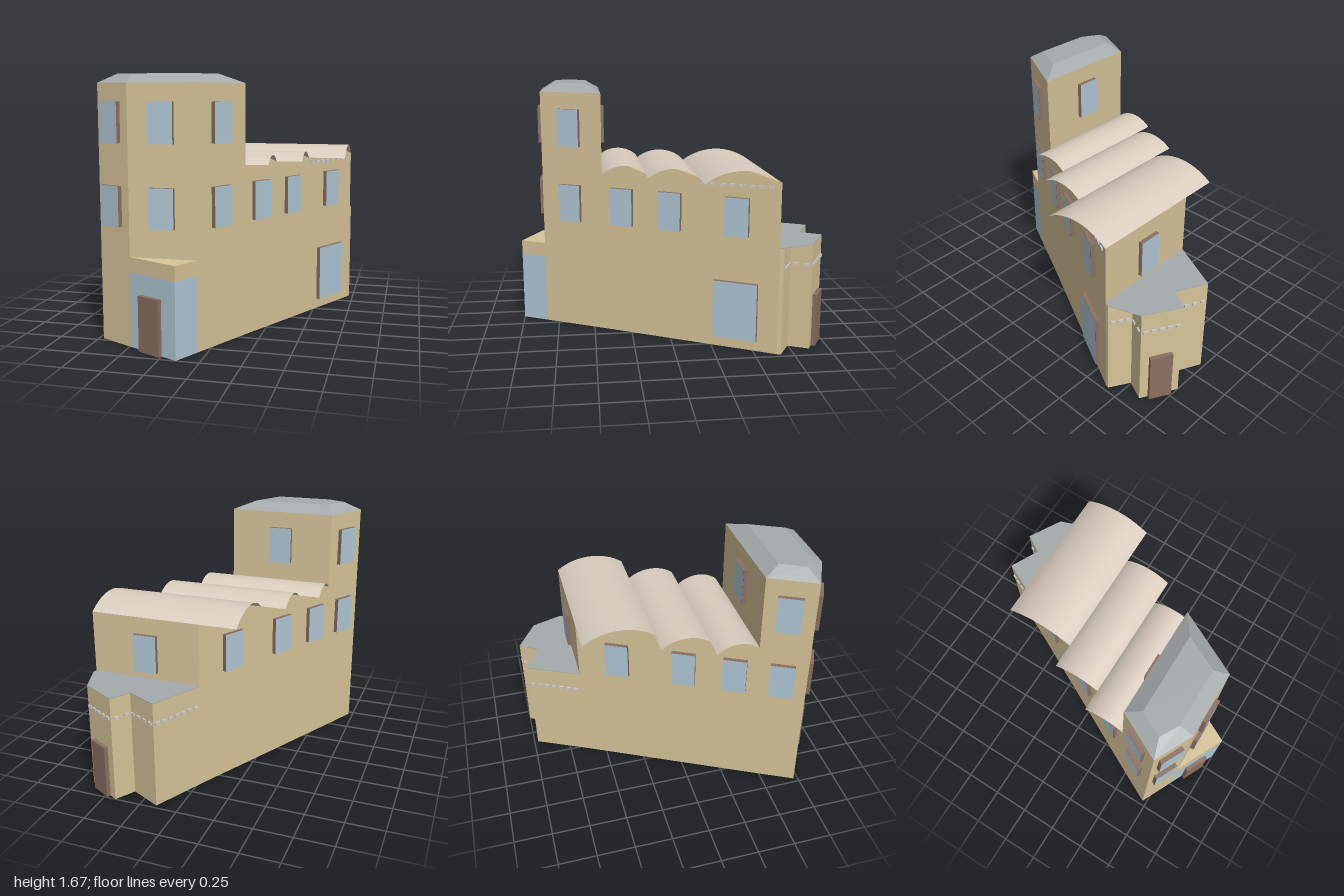
import * as THREE from 'three';
import { ConvexGeometry } from 'three/addons/geometries/ConvexGeometry.js';

const mat = (color, side = THREE.FrontSide) =>
  new THREE.MeshStandardMaterial({ color, side, flatShading: true });

export function createModel() {
  const model = new THREE.Group();
  const wallMat = mat(0xd6c499), gableMat = mat(0xd6c499, THREE.DoubleSide);
  const glassMat = mat(0xafc7d5), woodMat = mat(0x8a6f60);
  const slateMat = mat(0xa5abac), vaultMat = mat(0xd8ccbd, THREE.DoubleSide);
  const ventMat = mat(0xcccccc);

  const add = (name, geometry, material, parent = model) => {
    const mesh = new THREE.Mesh(geometry, material);
    mesh.name = name;
    parent.add(mesh);
    return mesh;
  };

  // Upright block standing on a footprint of [x, z] corners
  const block = (name, plan, y0, y1, material) => {
    const shape = new THREE.Shape(plan.map(([x, z]) => new THREE.Vector2(x, -z)));
    const geo = new THREE.ExtrudeGeometry(shape, { depth: y1 - y0, bevelEnabled: false });
    geo.rotateX(-Math.PI / 2).translate(0, y0, 0);
    return add(name, geo, material);
  };

  // Group on a wall running a -> b, at fraction t; local +z points outward
  const onWall = (name, [a, b], t, y) => {
    const g = new THREE.Group();
    const dx = b[0] - a[0], dz = b[1] - a[1];
    g.name = name;
    g.position.set(a[0] + dx * t, y, a[1] + dz * t);
    g.rotation.y = Math.atan2(-dz, dx);
    model.add(g);
    return g;
  };
  const atZ = ([a, b], z) => (z - a[1]) / (b[1] - a[1]);

  const DEPTH = 0.027;
  const door = (wall, t, w, h) => {
    const g = onWall('door', wall, t, h / 2);
    add('doorLeaf', new THREE.BoxGeometry(w, h, DEPTH), woodMat, g).position.z = DEPTH / 2;
  };
  const openWindow = (wall, t, y0, y1, w = 0.157) => {
    const g = onWall('window', wall, t, (y0 + y1) / 2);
    add('windowFrame', new THREE.BoxGeometry(w, y1 - y0, DEPTH), woodMat, g).position.z = DEPTH / 2;
    add('windowPane', new THREE.PlaneGeometry(w, y1 - y0), glassMat, g).position.z = DEPTH + 0.001;
  };
  const vents = (wall, t0, t1, n, y, w) => {
    for (let i = 0; i < n; i++) {
      const g = onWall('vent', wall, n > 1 ? t0 + (t1 - t0) * i / (n - 1) : t0, y);
      add('ventBlock', new THREE.BoxGeometry(w, 0.018, 0.02), ventMat, g);
    }
  };

  // Tower, with a lower glazed corner in front
  const towerPlan = [[-0.72, 0.72], [-0.485, 0.835], [-0.06, 0.835], [0.145, 0.435], [-0.575, 0.435]];
  const cornerPlan = [[-0.485, 0.835], [-0.145, 1], [-0.06, 0.835]];
  block('tower', towerPlan, 0, 1.62, wallMat);
  block('cornerGlazing', cornerPlan, 0, 0.475, glassMat);
  block('cornerParapet', cornerPlan, 0.475, 0.57, wallMat);

  // Hipped tower roof
  const roofTop = [[-0.605, 0.68], [-0.525, 0.53], [0, 0.53], [-0.11, 0.745], [-0.485, 0.745]];
  add('towerRoof', new ConvexGeometry([
    ...towerPlan.map(([x, z]) => new THREE.Vector3(x, 1.62, z)),
    ...roofTop.map(([x, z]) => new THREE.Vector3(x, 1.675, z)),
  ]), slateMat);

  // Long hall
  const hallRight = [[0.145, 0.435], [0.715, -0.64]];
  const hallLeft = [[-0.02, -0.64], [-0.575, 0.435]];
  block('hall', [...hallRight, ...hallLeft], 0, 1.11, wallMat);

  // Vaulted roofs over slanted walls, with triangular gables on the wall planes
  const xAt = (wall, z) => {
    const t = atZ(wall, z);
    return wall[0][0] + (wall[1][0] - wall[0][0]) * t;
  };
  for (const [z0, z1, rise] of [[0.435, 0.155, 0.053], [0.155, -0.165, 0.055], [-0.165, -0.64, 0.078]]) {
    const half = (z0 - z1) / 2, mid = (z0 + z1) / 2;
    const r = (half * half + rise * rise) / (2 * rise), a = Math.asin(half / r);
    const x0 = xAt(hallLeft, z0), x1 = xAt(hallRight, z1);
    const vault = new THREE.CylinderGeometry(r, r, x1 - x0, 16, 1, true, Math.PI / 2 - a, 2 * a);
    vault.rotateZ(Math.PI / 2).translate((x0 + x1) / 2, 1.11 + rise - r, mid);
    add('vaultRoof', vault, vaultMat);
    for (const wall of [hallRight, hallLeft]) {
      const pts = [[z0, 0], [z1, 0], [mid, rise - 0.001]]
        .map(([z, y]) => new THREE.Vector3(xAt(wall, z), 1.11 + y, z));
      if (wall === hallLeft) pts.reverse();
      const tri = new THREE.BufferGeometry().setFromPoints(pts);
      tri.computeVertexNormals();
      add('gable', tri, gableMat);
    }
  }

  // Rear annex with a projecting porch
  const A = [[-0.02, -0.64], [0.715, -0.64], [0.722, -0.665], [0.59, -0.745],
    [0.65, -0.87], [0.42, -1], [0.345, -0.875], [0.145, -0.975]];
  block('annex', A, 0, 0.698, wallMat);
  block('annexRoof', A.filter((_, i) => i !== 3), 0.698, 0.702, slateMat);

  // Windows
  const towerRight = [towerPlan[2], towerPlan[3]];
  const towerFront = [towerPlan[1], towerPlan[2]];
  const towerCant = [towerPlan[0], towerPlan[1]];
  const towerLeft = [towerPlan[4], towerPlan[0]];
  for (const [y0, y1] of [[0.75, 1], [1.26, 1.51]]) {
    openWindow(towerRight, atZ(towerRight, 0.645), y0, y1);
    openWindow(towerFront, 0.5, y0, y1);
    openWindow(towerCant, 0.46, y0, y1);
    openWindow(towerLeft, 0.5, y0, y1);
  }
  for (const z of [0.305, 0.005, -0.395])
    for (const wall of [hallRight, hallLeft]) openWindow(wall, atZ(wall, z), 0.75, 1);
  openWindow(hallRight, atZ(hallRight, -0.395), 0.07, 0.45, 0.29);
  openWindow([[0.715, -0.64], [-0.02, -0.64]], 0.505, 0.75, 1);
  openWindow([towerPlan[3], towerPlan[4]], 0.5, 1.26, 1.51);

  // Doors
  door([cornerPlan[0], cornerPlan[1]], 0.47, 0.17, 0.35);
  door([A[4], A[5]], 0.5, 0.15, 0.35);

  // Rows of small vents
  vents(hallRight, 0.59, 0.95, 8, 1.075, 0.035);
  vents([A[2], A[3]], 0.2, 0.8, 3, 0.565, 0.028);
  vents([A[3], A[4]], 0.25, 0.75, 2, 0.565, 0.028);
  vents([A[4], A[5]], 0.1, 0.9, 5, 0.565, 0.032);
  vents([A[5], A[6]], 0.25, 0.75, 2, 0.565, 0.028);
  vents([A[6], A[7]], 0.12, 0.88, 4, 0.565, 0.03);
  vents([A[7], A[0]], 0.08, 0.9, 7, 0.565, 0.032);

  return model;
}
